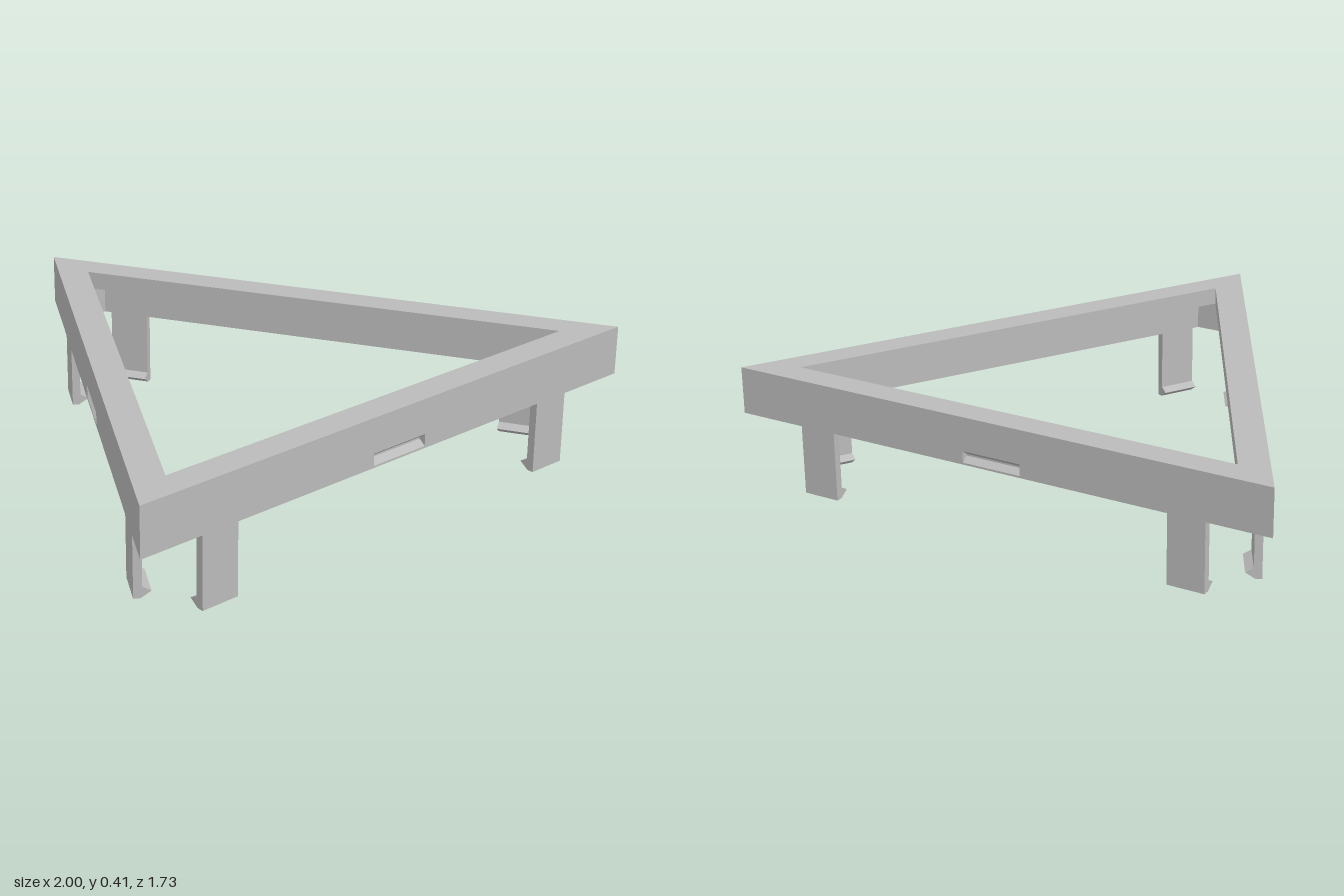
import * as THREE from 'three';

const S3 = Math.sqrt(3);
const R = 1 / S3;              // distance from the centre to an outer face
const TOP = 0.415, BOTTOM = 0.25, LIP = 0.355, WALL = 0.039, WIDTH = 0.1;

// Sweeps a profile of [depth, height] points along x; halfLength depends on depth
function strip(profile, halfLength, caps = false) {
  const pos = [];
  const pt = ([d, y], s) => [s * halfLength(d), y, R - d];
  for (let i = 0; i < profile.length - 1; i++) {
    const p = profile[i], q = profile[i + 1];
    const a = pt(p, -1), b = pt(p, 1), c = pt(q, 1), d = pt(q, -1);
    pos.push(...a, ...b, ...c, ...a, ...c, ...d);
  }
  if (caps) {
    for (let i = 1; i < profile.length - 1; i++) {
      const [a, b, c] = [profile[0], profile[i], profile[i + 1]];
      pos.push(...pt(a, -1), ...pt(b, -1), ...pt(c, -1));
      pos.push(...pt(a, 1), ...pt(c, 1), ...pt(b, 1));
    }
  }
  const g = new THREE.BufferGeometry();
  g.setAttribute('position', new THREE.Float32BufferAttribute(pos, 3));
  g.computeVertexNormals();
  return g;
}

const polygon = (pts) => new THREE.Shape(pts.map(([x, y]) => new THREE.Vector2(x, y)));

export function createModel() {
  const root = new THREE.Group();
  root.name = 'triangularFrame';
  const grey = new THREE.MeshStandardMaterial({ color: 0xbababa });
  grey.name = 'grey';

  // L-shaped rail with mitred ends: top, lip, underside, inner wall, bottom rim
  const railGeo = strip([
    [0, TOP], [WIDTH, TOP], [WIDTH, LIP], [WALL, LIP], [WALL, BOTTOM], [0, BOTTOM],
  ], (d) => 1 - d * S3);

  // Outer face with a slot opening
  const slotHalf = 0.108, slotLow = 0.257, slotHigh = 0.297;
  const face = polygon([[-1, BOTTOM], [1, BOTTOM], [1, TOP], [-1, TOP]]);
  face.holes.push(polygon([
    [-slotHalf, slotLow], [-slotHalf, slotHigh], [slotHalf, slotHigh], [slotHalf, slotLow],
  ]));
  const faceGeo = new THREE.ShapeGeometry(face).translate(0, 0, R);

  // V-shaped recess behind the opening
  const slotGeo = strip([
    [0, slotLow], [0.022, 0.274], [0.022, 0.28], [0, slotHigh],
  ], () => slotHalf, true);

  // Clip leg with an inward hook at its foot
  const legWidth = 0.133;
  const legGeo = new THREE.ExtrudeGeometry(polygon([
    [R - 0.012, 0], [R - 0.012, BOTTOM], [R - WALL, BOTTOM], [R - WALL, 0.037],
    [R - 0.066, 0.022], [R - 0.034, 0],
  ]), { depth: legWidth, bevelEnabled: false });
  legGeo.rotateY(-Math.PI / 2).translate(legWidth / 2, 0, 0);

  // Block filling the corner under the lip
  const cx = 1 - WALL * S3, cz = R - WALL, cut = 0.142;
  const blockGeo = new THREE.ExtrudeGeometry(polygon([
    [cx, -cz], [cx - cut / 2, -cz + cut * S3 / 2], [cx - cut, -cz],
  ]), { depth: LIP - BOTTOM, bevelEnabled: false });
  blockGeo.rotateX(-Math.PI / 2).translate(0, BOTTOM, 0);

  // Three identical sides around the centre
  for (let k = 0; k < 3; k++) {
    const side = new THREE.Group();
    side.name = ['frontSide', 'leftSide', 'rightSide'][k];
    const add = (name, geo, x = 0) => {
      const m = new THREE.Mesh(geo, grey);
      m.name = name;
      m.position.x = x;
      side.add(m);
    };
    add('rail', railGeo);
    add('outerFace', faceGeo);
    add('slotRecess', slotGeo);
    add('cornerBlock', blockGeo);
    for (const s of [-1, 1]) add('clipLeg', legGeo, s * 0.7);
    side.rotation.y = k * 2 * Math.PI / 3;
    root.add(side);
  }
  // Move the triangle so its bounds are centred on z
  for (const side of root.children) side.position.z = S3 / 2 - R;
  return root;
}
